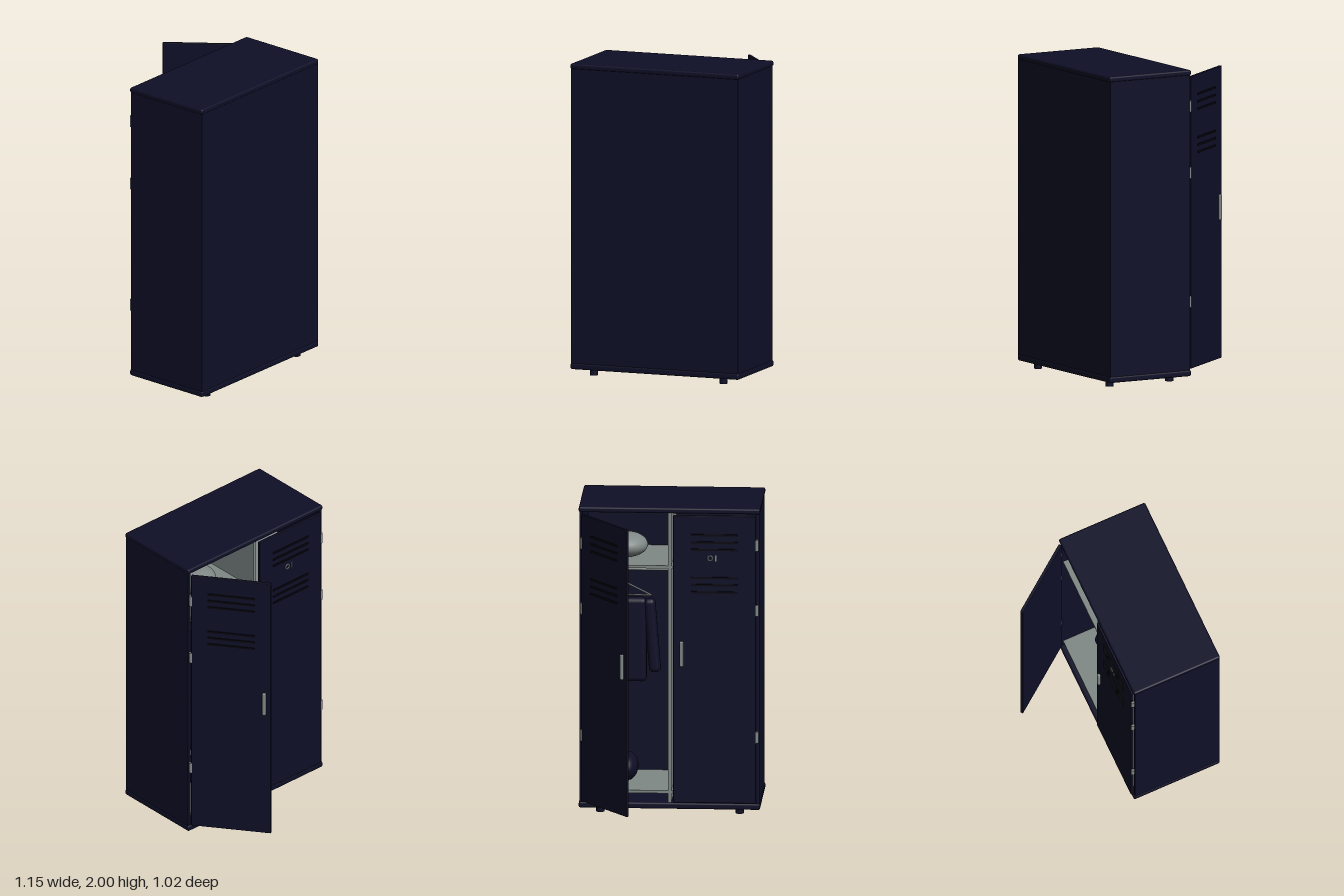
import * as THREE from 'three';
import { RoundedBoxGeometry } from 'three/addons/geometries/RoundedBoxGeometry.js';

export function createModel() {
  const mat = (name, color) => {
    const m = new THREE.MeshStandardMaterial({ color });
    m.name = name;
    return m;
  };
  const navy = mat('navy paint', 0x0e0f27);
  const slot = mat('dark slot', 0x06060f);
  const grey = mat('grey metal', 0x808987);

  const model = new THREE.Group();
  model.name = 'locker';

  const add = (parent, name, geo, material, x, y, z) => {
    const mesh = new THREE.Mesh(geo, material);
    mesh.name = name;
    mesh.position.set(x, y, z);
    parent.add(mesh);
    return mesh;
  };
  // box given by its min and max corners
  const box = (parent, name, material, [x0, y0, z0], [x1, y1, z1], r = 0) => {
    const s = [x1 - x0, y1 - y0, z1 - z0];
    const geo = r ? new RoundedBoxGeometry(...s, 3, r) : new THREE.BoxGeometry(...s);
    return add(parent, name, geo, material, (x0 + x1) / 2, (y0 + y1) / 2, (z0 + z1) / 2);
  };
  const ball = (parent, name, material, x, y, z, sx, sy, sz) => {
    const mesh = add(parent, name, new THREE.SphereGeometry(1, 32, 20), material, x, y, z);
    mesh.scale.set(sx, sy, sz);
    return mesh;
  };

  // cabinet shell, open towards -z
  box(model, 'topPanel', navy, [-0.575, 1.965, -0.09], [0.575, 2, 0.51], 0.012);
  box(model, 'basePanel', navy, [-0.575, 0.04, -0.09], [0.575, 0.08, 0.51], 0.012);
  box(model, 'rearPanel', navy, [-0.57, 0.06, 0.485], [0.57, 1.98, 0.505]);
  for (const s of [-1, 1]) {
    const a = s * 0.57, b = s * 0.55;
    box(model, 'sidePanel', navy, [Math.min(a, b), 0.06, -0.08], [Math.max(a, b), 1.98, 0.505]);
    for (const z of [0.435, -0.005]) {
      add(model, 'foot', new THREE.CylinderGeometry(0.026, 0.026, 0.05, 20), navy, s * 0.442, 0.025, z);
    }
  }

  // divider and shelves
  box(model, 'divider', grey, [-0.012, 0.08, -0.078], [0.008, 1.965, 0.485]);
  for (const [x0, x1] of [[-0.55, -0.012], [0.008, 0.55]]) {
    for (const y of [0.155, 1.62]) {
      box(model, 'shelf', grey, [x0, y - 0.018, -0.07], [x1, y, 0.485]);
    }
  }

  // doors: local x runs from the hinge to the free edge
  const door = (name, side, length, angle) => {
    const g = new THREE.Group();
    g.name = name;
    g.position.set(side * 0.55, 0, -0.09);
    g.rotation.y = angle;
    model.add(g);
    const at = d => -side * d;
    const plate = (n, m, d, y, z, w, h, t, r) => box(g, n, m,
      [at(d) - w / 2, y - h / 2, z - t / 2], [at(d) + w / 2, y + h / 2, z + t / 2], r);
    plate('doorPanel', navy, length / 2, 1.02, 0, length, 1.87, 0.02, 0.004);
    for (const y of [1.83, 1.782, 1.735, 1.552, 1.505, 1.458]) {
      plate('ventSlat', slot, length / 2, y, -0.012, 0.3, 0.012, 0.008);
    }
    plate('handle', grey, 0.472, 1.055, -0.018, 0.024, 0.165, 0.02, 0.008);
    for (const y of [1.765, 1.34, 0.515]) {
      add(model, 'hinge', new THREE.CylinderGeometry(0.012, 0.012, 0.072, 16), grey, side * 0.553, y, -0.09);
    }
    return g;
  };
  const closed = door('closedDoor', -1, 0.525, 0);
  door('openDoor', 1, 0.515, -0.925);

  // small lock fitting on the closed door
  add(closed, 'lockRing', new THREE.TorusGeometry(0.015, 0.005, 8, 24), grey, 0.29, 1.68, -0.012);
  box(closed, 'lockBar', grey, [0.25, 1.66, -0.017], [0.258, 1.7, -0.009]);

  // rounded hat on the upper shelf
  ball(model, 'hat', grey, 0.29, 1.7, 0.17, 0.14, 0.08, 0.14);

  // pair of shoes on the lower shelf
  for (const x of [0.28, 0.43]) ball(model, 'shoe', navy, x, 0.24, 0.24, 0.065, 0.088, 0.14);

  // rail, hanger and hanging jacket
  const rail = add(model, 'rail', new THREE.CylinderGeometry(0.01, 0.01, 0.54, 16), grey, 0.28, 1.53, 0.21);
  rail.rotation.z = Math.PI / 2;
  const hangerPath = new THREE.CurvePath();
  const pts = [[0.13, 1.36], [0.29, 1.44], [0.46, 1.36], [0.13, 1.36]].map(p => new THREE.Vector3(p[0], p[1], 0.21));
  for (let i = 0; i < 3; i++) hangerPath.add(new THREE.LineCurve3(pts[i], pts[i + 1]));
  add(model, 'hanger', new THREE.TubeGeometry(hangerPath, 48, 0.006, 8), grey, 0, 0, 0);
  add(model, 'hangerHook', new THREE.CylinderGeometry(0.005, 0.005, 0.1, 8), grey, 0.29, 1.485, 0.21);
  box(model, 'jacketBody', navy, [0.16, 0.8, 0.17], [0.43, 1.345, 0.25], 0.03);
  box(model, 'jacketZip', grey, [0.29, 0.88, 0.163], [0.3, 1.31, 0.171]);
  for (const s of [-1, 1]) {
    const sleeve = add(model, 'jacketSleeve', new RoundedBoxGeometry(0.075, 0.48, 0.075, 3, 0.03), navy,
      0.295 + s * 0.17, 1.1, 0.21);
    sleeve.rotation.z = s * 0.08;
  }
  return model;
}
